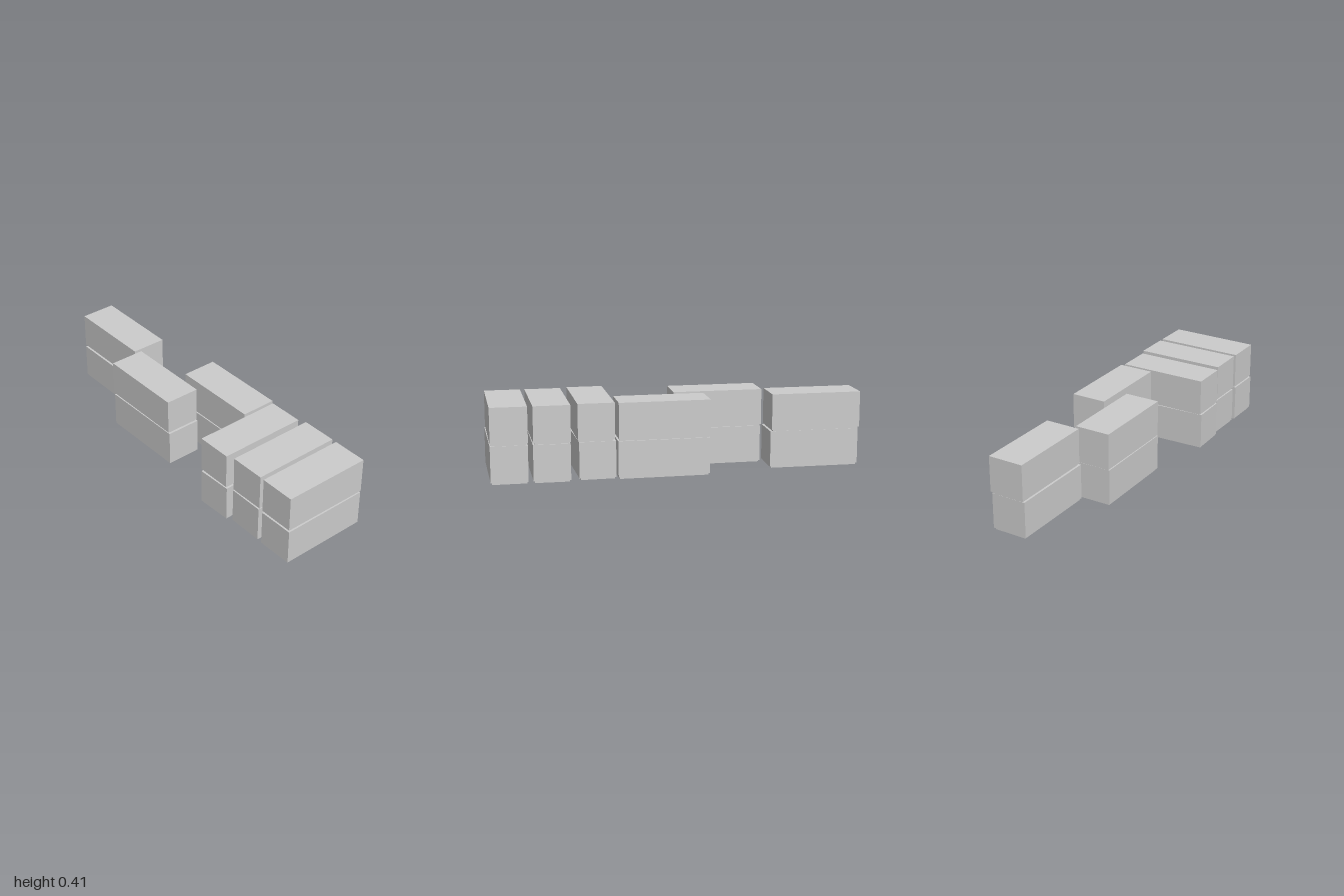
import * as THREE from 'three';

const LENGTH = 0.487, WIDTH = 0.194, BODY = 0.193, FOOT = 0.0095, INSET = 0.007;
const material = new THREE.MeshStandardMaterial({ color: 0xcccccc, flatShading: true });

// One brick: solid block standing on a thin, slightly inset bed
function brick(name) {
  const group = new THREE.Group();
  group.name = name;
  const block = new THREE.Mesh(new THREE.BoxGeometry(LENGTH, BODY, WIDTH), material);
  block.name = 'block';
  block.position.y = FOOT + BODY / 2;
  const bed = new THREE.Mesh(
    new THREE.BoxGeometry(LENGTH - 2 * INSET, FOOT, WIDTH - 2 * INSET), material);
  bed.name = 'bed';
  bed.position.y = FOOT / 2;
  group.add(block, bed);
  return group;
}

export function createModel() {
  const model = new THREE.Group();
  model.name = 'brickStacks';

  // Each stack: lower and upper brick as [x, z, small turn]
  const stacks = [
    { lower: [-0.749, -0.073, -0.006], upper: [-0.755, -0.078, -0.004] },
    { lower: [-0.243, 0.086, 0.006], upper: [-0.249, 0.087, 0] },
    { lower: [0.089, -0.155, 0.008], upper: [0.085, -0.154, 0.004] },
    { lower: [0.445, 0.006, 0.03], upper: [0.445, 0.004, 0.006], crosswise: true },
    { lower: [0.676, -0.014, -0.004], upper: [0.677, -0.015, 0.006], crosswise: true },
    { lower: [0.898, -0.012, 0.006], upper: [0.896, -0.015, 0], crosswise: true },
  ];

  stacks.forEach(({ lower, upper, crosswise }, i) => {
    [lower, upper].forEach(([x, z, turn], level) => {
      const b = brick(`${level ? 'upper' : 'lower'}Brick${i + 1}`);
      b.position.set(x, level * (BODY + FOOT), z);
      b.rotation.y = turn + (crosswise ? Math.PI / 2 : 0);
      model.add(b);
    });
  });
  return model;
}
